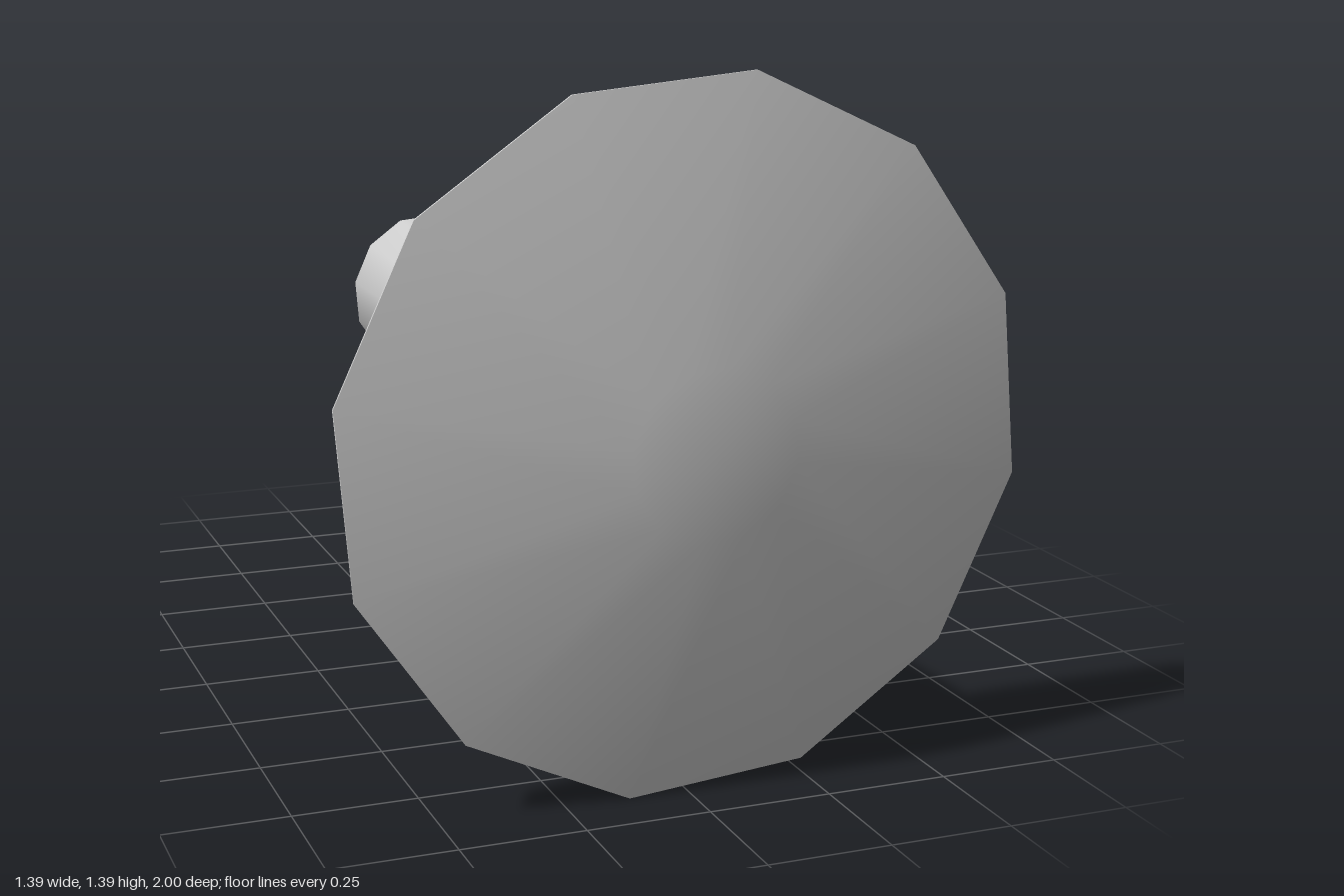
import * as THREE from 'three';
import { toCreasedNormals } from 'three/addons/utils/BufferGeometryUtils.js';

const SIDES = 12;
const TURN = THREE.MathUtils.degToRad(80.2);
const material = new THREE.MeshStandardMaterial({ color: 0xcccccc });

// Joins twelve-sided rings [z, centreY, radiusX, radiusY]; outside faces out for rising z.
function loft(name, rings) {
  const pos = [], index = [];
  for (const [z, cy, rx, ry = rx] of rings) {
    for (let j = 0; j < SIDES; j++) {
      const a = TURN + (j / SIDES) * Math.PI * 2;
      pos.push(Math.cos(a) * rx, cy + Math.sin(a) * ry, z);
    }
  }
  for (let i = 0; i < rings.length - 1; i++) {
    for (let j = 0; j < SIDES; j++) {
      const k = (j + 1) % SIDES;
      const a = i * SIDES + j, b = i * SIDES + k, c = b + SIDES, d = a + SIDES;
      if (rings[i][2] > 0) index.push(a, b, c);
      if (rings[i + 1][2] > 0) index.push(a, c, d);
      else if (rings[i][2] > 0) continue;
    }
  }
  const geometry = new THREE.BufferGeometry();
  geometry.setAttribute('position', new THREE.Float32BufferAttribute(pos, 3));
  geometry.setIndex(index);
  const mesh = new THREE.Mesh(toCreasedNormals(geometry, 0.7), material);
  mesh.name = name;
  return mesh;
}

export function createModel() {
  const group = new THREE.Group();
  group.name = 'plunger';

  // Wide shallow dish: hollow back, thin rim, sloped front with a small flat centre
  const cy = 0.695;
  group.add(loft('dish', [
    [0.985, cy, 0], [0.985, cy, 0.168], [0.885, cy, 0.703],
    [0.89, cy, 0.703], [1, cy, 0.168], [1, cy, 0],
  ]));

  // Collar seating the handle in the dish
  group.add(loft('collar', [
    [0.857, 0.697, 0], [0.857, 0.697, 0.173, 0.175], [0.988, 0.697, 0.173, 0.175],
  ]));

  // Waisted handle with a lipped, recessed back end
  group.add(loft('handle', [
    [-0.765, 0.687, 0], [-0.765, 0.687, 0.168, 0.176], [-0.78, 0.687, 0.168, 0.176],
    [-0.78, 0.687, 0.186, 0.195], [-0.22, 0.674, 0.163, 0.157],
    [0.35, 0.682, 0.164, 0.145], [0.87, 0.697, 0.169, 0.17], [0.87, 0.697, 0],
  ]));

  // Curved cord leaving the back end
  const path = new THREE.CatmullRomCurve3([
    new THREE.Vector3(-0.005, 0.688, -0.76),
    new THREE.Vector3(-0.005, 0.692, -0.83),
    new THREE.Vector3(0, 0.712, -0.915),
    new THREE.Vector3(0.008, 0.75, -0.992),
  ]);
  const cord = new THREE.Mesh(new THREE.TubeGeometry(path, 10, 0.018, 8), material);
  cord.name = 'cord';
  const cordEnd = new THREE.Mesh(new THREE.CircleGeometry(0.018, 8), material);
  cordEnd.name = 'cordEnd';
  cordEnd.position.copy(path.getPoint(1));
  cordEnd.lookAt(path.getPoint(1).add(path.getTangent(1)));
  group.add(cord, cordEnd);

  return group;
}
